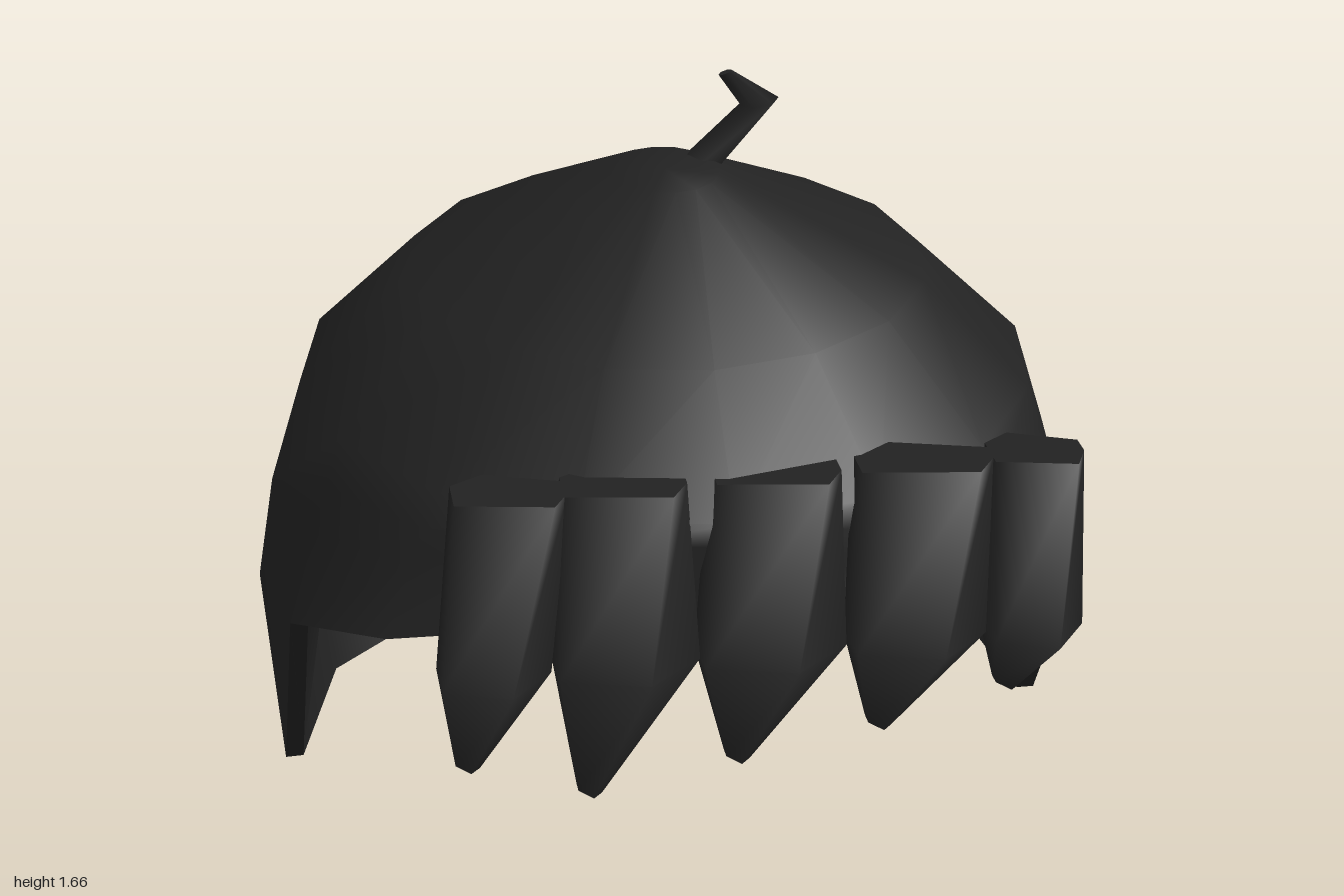
import * as THREE from 'three';
import { mergeGeometries } from 'three/addons/utils/BufferGeometryUtils.js';

// Skin closed rings of [x, y, z]; rings run downwards, points run front -> +x -> back.
function loft(rings, flip = false) {
  const n = rings[0].length, index = [];
  const tri = (a, b, c) => (flip ? index.push(a, c, b) : index.push(a, b, c));
  for (let j = 0; j < rings.length - 1; j++) {
    for (let i = 0; i < n; i++) {
      const a = j * n + i, b = j * n + (i + 1) % n;
      tri(a, a + n, b);
      tri(b, a + n, b + n);
    }
  }
  const g = new THREE.BufferGeometry();
  g.setAttribute('position', new THREE.Float32BufferAttribute(rings.flat(2), 3));
  g.setIndex(index);
  g.computeVertexNormals();
  return g;
}

// Flat lid over one ring
function lid(ring, up) {
  const index = [];
  for (let i = 1; i < ring.length - 1; i++) index.push(0, up ? i : i + 1, up ? i + 1 : i);
  const g = new THREE.BufferGeometry();
  g.setAttribute('position', new THREE.Float32BufferAttribute(ring.flat(), 3));
  g.setIndex(index);
  g.computeVertexNormals();
  return g;
}

const solid = (rings) => mergeGeometries([loft(rings), lid(rings[0], true), lid(rings[rings.length - 1], false)]);

const CZ = -0.11;
// Lower hairline from front centre to back centre, mirrored for the other side
const HAIRLINE = [
  [0, 0.78, 0.74], [0.36, 0.77, 0.72], [0.73, 0.74, 0.65], [0.92, 0.59, 0.29], [0.945, 0, -0.08],
  [0.84, 0.11, -0.3], [0.6, 0.12, -0.5], [0.33, 0.155, -0.65], [0, 0.12, -0.72],
];

function capRings() {
  const edge = [];
  for (let i = 0; i < 16; i++) {
    const [x, y, z] = HAIRLINE[i <= 8 ? i : 16 - i];
    edge.push([i <= 8 ? x : -x, y, z]);
  }
  const ringPoint = (i, rx, rz, y) => {
    const a = (i * Math.PI) / 8;
    return [rx * Math.sin(a), y, CZ + rz * Math.cos(a)];
  };
  const level = (rx, rz, y) => edge.map((_, i) => ringPoint(i, rx, rz, y));
  // Intermediate rows follow the hairline height; the front runs straight to the edge
  const between = (t, rx, rz) => edge.map((e, i) => {
    const y = THREE.MathUtils.lerp(1, e[1], t);
    if (Math.min(i, 16 - i) > 3) return ringPoint(i, rx, rz, y);
    const p = ringPoint(i, 0.85, 0.86, 1);
    return [p[0] + (e[0] - p[0]) * t, y, p[2] + (e[2] - p[2]) * t];
  });
  return [
    level(0.001, 0.001, 1.46), level(0.125, 0.145, 1.458), level(0.6, 0.615, 1.24), level(0.85, 0.86, 1),
    between(0.25, 0.93, 0.88), between(0.5, 0.975, 0.89), edge,
  ];
}

export function createModel() {
  const group = new THREE.Group();
  const hair = new THREE.MeshStandardMaterial({ color: 0x222222 });
  hair.name = 'charcoal hair';
  const add = (name, geometry) => {
    const mesh = new THREE.Mesh(geometry, hair);
    mesh.name = name;
    group.add(mesh);
  };

  // Hollow cap with a thin rim
  const outer = capRings();
  const last = outer.length - 1;
  const inner = outer.map((ring, j) => ring.map(([x, y, z]) =>
    [x * 0.955, y - 0.045 * (1 - j / last), CZ + (z - CZ) * 0.955]));
  add('capOuter', loft(outer));
  add('capInner', loft(inner, true));
  add('capRim', loft([outer[last], inner[last]]));

  // Fringe locks: top left/right x, bend left/right x, tip x, tip y
  const locks = [
    [-0.58, -0.34, -0.64, -0.41, -0.59, 0.56],
    [-0.35, -0.09, -0.4, -0.1, -0.335, 0.47],
    [-0.03, 0.24, -0.1, 0.21, -0.02, 0.52],
    [0.28, 0.57, 0.22, 0.51, 0.285, 0.57],
    [0.57, 0.77, 0.515, 0.72, 0.56, 0.64],
  ];
  locks.forEach(([tl, tr, bl, br, x, y], i) => {
    const at = (l, r, t) => l + (r - l) * t;
    add('fringeLock' + (i + 1), solid([
      [[tl, 1.07, 0.7], [at(tl, tr, 0.85), 1.07, 0.74], [tr, 1.07, 0.68], [tr, 1.07, 0.63],
        [at(tl, tr, 0.3), 1.07, 0.57], [tl, 1.07, 0.61]],
      [[bl, 0.78, 0.95], [at(bl, br, 0.6), 0.78, 1], [br, 0.77, 0.89], [br, 0.75, 0.81],
        [at(bl, br, 0.4), 0.74, 0.8], [bl, 0.76, 0.82]],
      [[x - 0.025, y + 0.01, 0.9], [x + 0.005, y, 0.92], [x + 0.025, y, 0.9], [x + 0.025, y, 0.87],
        [x, y, 0.86], [x - 0.025, y + 0.01, 0.87]],
    ]));
  });

  // Bent stray tuft on the crown
  const tuftRing = (cx, y, cz, w, d, tilt) => Array.from({ length: 6 }, (_, i) => {
    const a = (i * Math.PI) / 3 + Math.PI / 6;
    return [cx + w * Math.sin(a), y + tilt * Math.sin(a), cz + d * Math.cos(a)];
  });
  add('crownTuft', solid([
    tuftRing(0.15, 1.66, -0.17, 0.015, 0.012, 0.005),
    tuftRing(0.24, 1.57, -0.215, 0.045, 0.045, 0.006),
    tuftRing(0.1, 1.44, -0.19, 0.055, 0.06, 0),
  ]));

  return group;
}
